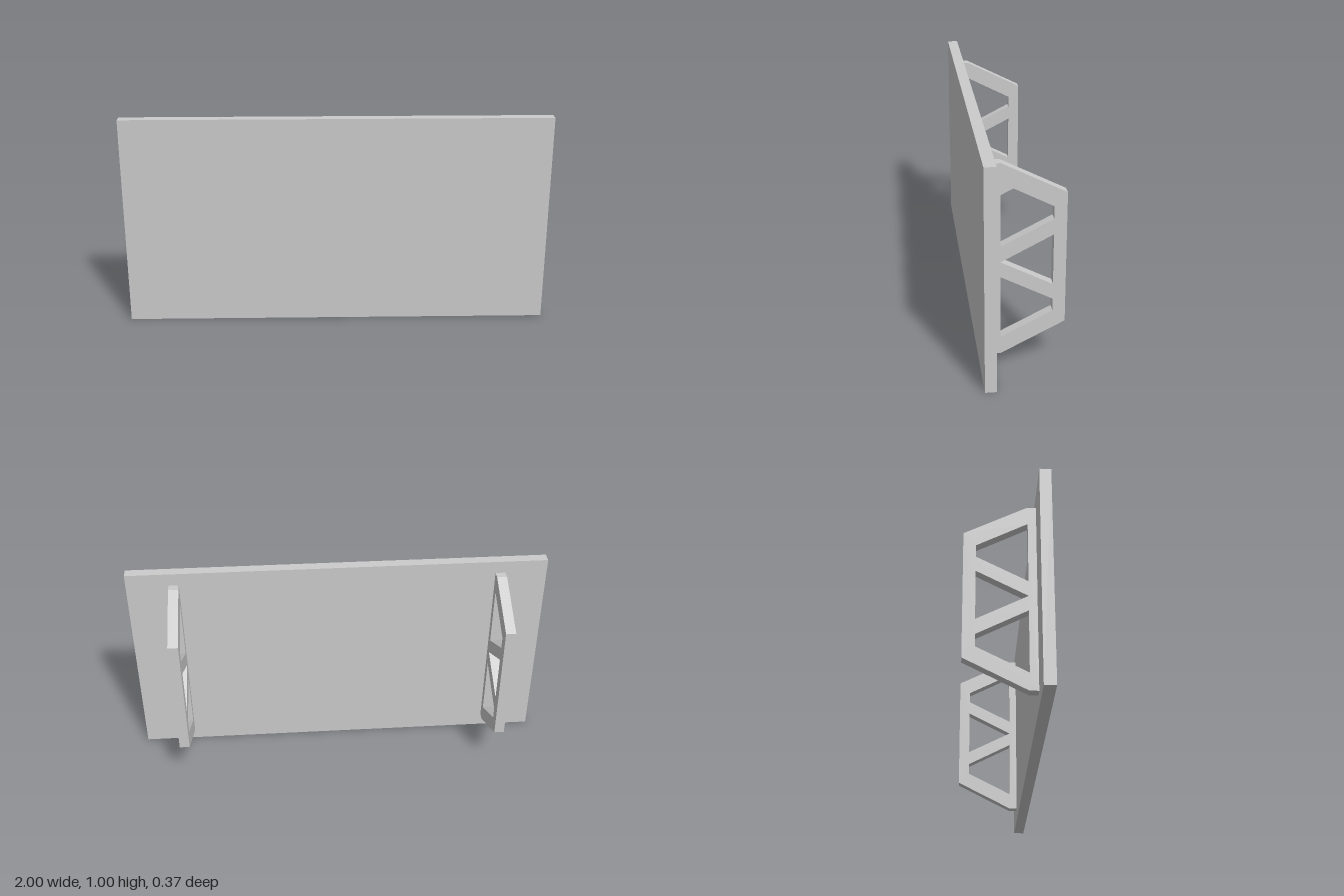
import * as THREE from 'three';

const material = new THREE.MeshStandardMaterial({ color: 0xcccccc });

// Points are [z, y]; shape x runs towards the back (-z).
const toPoints = (pairs) => pairs.map(([z, y]) => new THREE.Vector2(-z, y));

// Trapezoid truss plate with three cut-outs, extruded along +x.
function bracketGeometry(thickness) {
  const mid = 0.5, wall = 0.095, spine = -0.128;
  const shape = new THREE.Shape(toPoints([
    [0.132, 0.065], [0.093, 0.065], [-0.182, 0.207],
    [-0.182, 0.801], [0.093, 0.939], [0.132, 0.939],
  ]));
  // Upper and lower cut-outs mirror each other
  for (const s of [1, -1]) {
    shape.holes.push(new THREE.Path(toPoints([
      [wall, mid + s * 0.355], [spine, mid + s * 0.241],
      [spine, mid + s * 0.185], [wall, mid + s * 0.07],
    ])));
  }
  // Central triangle
  shape.holes.push(new THREE.Path(toPoints([
    [wall, mid - 0.001], [spine, mid + 0.115], [spine, mid - 0.115],
  ])));
  const geometry = new THREE.ExtrudeGeometry(shape, { depth: thickness, bevelEnabled: false });
  return geometry.rotateY(Math.PI / 2);
}

export function createModel() {
  const model = new THREE.Group();
  model.name = 'bracketedPanel';

  // Flat front panel
  const panel = new THREE.Mesh(new THREE.BoxGeometry(2, 1, 0.051), material);
  panel.name = 'panel';
  panel.position.set(0, 0.5, 0.1575);
  model.add(panel);

  // Pair of rear brackets
  const thickness = 0.048;
  const geometry = bracketGeometry(thickness);
  for (const [name, x] of [['leftBracket', 0.776], ['rightBracket', -0.776]]) {
    const bracket = new THREE.Mesh(geometry, material);
    bracket.name = name;
    bracket.position.x = x - thickness / 2;
    model.add(bracket);
  }
  return model;
}
